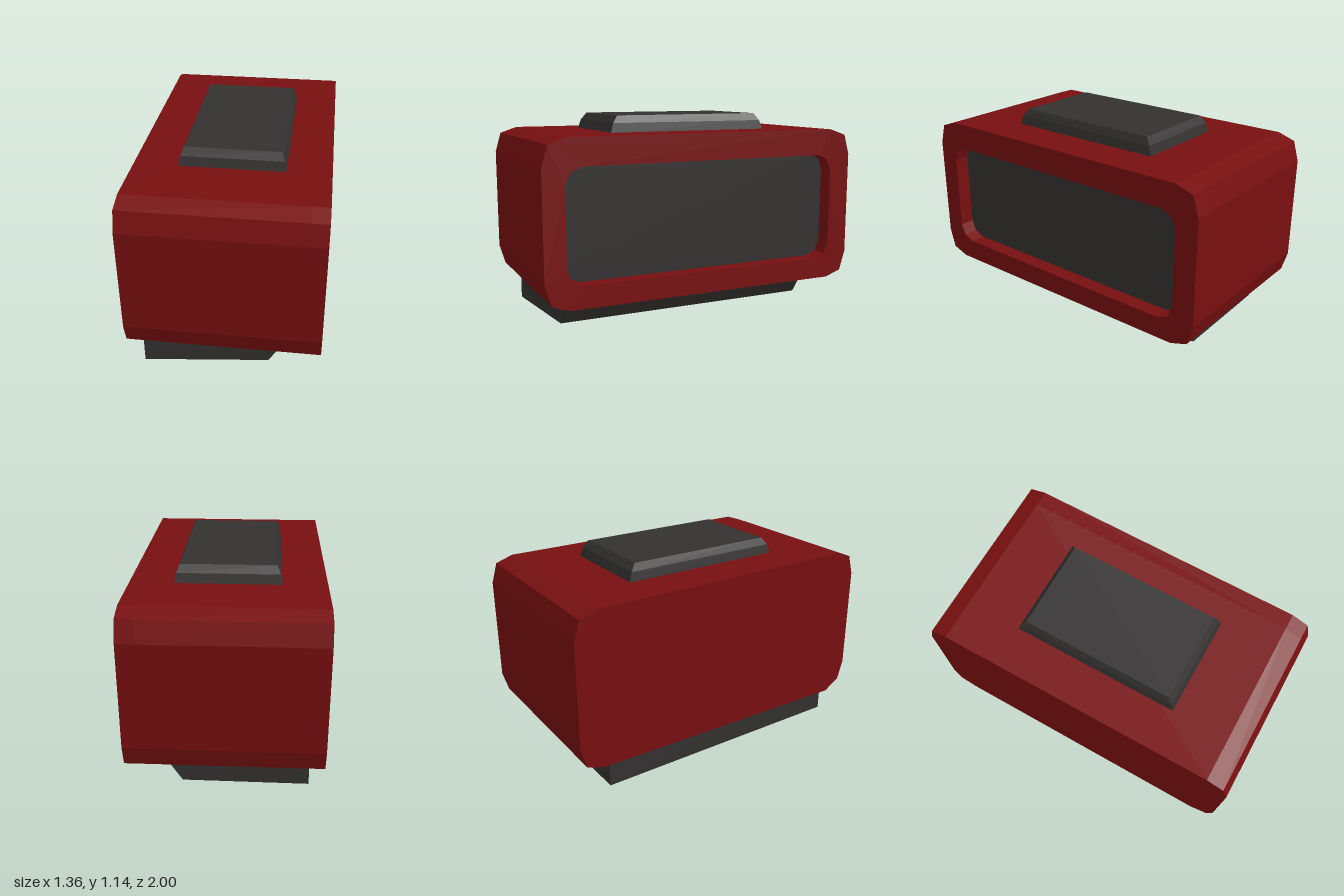
import * as THREE from 'three';

const red = new THREE.MeshStandardMaterial({ color: 0x780f10 });
const grey = new THREE.MeshStandardMaterial({ color: 0x333130 });

const HALF_W = 0.515, HALF_L = 0.917, BOTTOM = 0.18, TOP = 1.05, RECESS = 0.09;

function addMesh(parent, name, geometry, material) {
  const mesh = new THREE.Mesh(geometry, material);
  mesh.name = name;
  parent.add(mesh);
  return mesh;
}

// Rectangle with two-step chamfered corners; c = [along, up, knee] cut sizes
function chamferedPoints(x0, x1, y0, y1, [a, b, k]) {
  return [
    [x0 + a, y0], [x1 - a, y0], [x1 - k, y0 + k], [x1, y0 + b],
    [x1, y1 - b], [x1 - k, y1 - k], [x1 - a, y1], [x0 + a, y1],
    [x0 + k, y1 - k], [x0, y1 - b], [x0, y0 + b], [x0 + k, y0 + k],
  ].map(([x, y]) => new THREE.Vector2(x, y));
}

// Extrude a side profile across the width, from x = from to x = to
function extrudeAcross(shape, from, to) {
  const g = new THREE.ExtrudeGeometry(shape, { depth: to - from, bevelEnabled: false });
  g.translate(0, 0, from).rotateY(Math.PI / 2);
  return g;
}

// Move every vertex of a geometry by a rule, then refresh its normals
function reshape(g, rule) {
  const p = g.attributes.position, v = new THREE.Vector3();
  for (let i = 0; i < p.count; i++) {
    rule(v.fromBufferAttribute(p, i));
    p.setXYZ(i, v.x, v.y, v.z);
  }
  g.computeVertexNormals();
  return g;
}

// The front lower edge dips a little towards one side
function dipFrontEdge(v) {
  if (v.z > 0.7 && v.y < BOTTOM + 0.01) v.y -= 0.025 * (HALF_W - v.x) / (2 * HALF_W);
}

export function createModel() {
  const model = new THREE.Group();
  model.name = 'model';
  const turned = new THREE.Group();
  turned.name = 'turnedBlock';
  turned.rotation.y = 0.192;
  model.add(turned);

  // Body: solid core plus a window rim on the +x side
  const outline = chamferedPoints(-HALF_L, HALF_L, BOTTOM, TOP, [0.13, 0.145, 0.033]);
  const opening = chamferedPoints(-0.8, 0.79, 0.3, 0.905, [0.09, 0.09, 0.026]);
  const rimX = HALF_W - RECESS;
  addMesh(turned, 'body', reshape(extrudeAcross(new THREE.Shape(outline), -HALF_W, rimX), dipFrontEdge), red);
  const rim = new THREE.Shape(outline);
  rim.holes.push(new THREE.Path(opening));
  addMesh(turned, 'windowRim', reshape(extrudeAcross(rim, rimX, HALF_W), dipFrontEdge), red);

  // Dark panel at the back of the recess
  addMesh(turned, 'windowPanel', extrudeAcross(new THREE.Shape(opening), rimX - 0.01, rimX + 0.004), grey);

  // Raised pad on top, its sides leaning in over two steps
  const pad = new THREE.BoxGeometry(0.56, 0.09, 0.94, 1, 2, 1).toNonIndexed();
  addMesh(turned, 'topPad', reshape(pad, (v) => {
    const inset = v.y > 0.04 ? 1 : v.y > -0.01 ? 0.35 : 0;
    v.x -= Math.sign(v.x) * 0.027 * inset;
    v.z -= Math.sign(v.z) * 0.045 * inset;
    v.y += v.y > -0.01 && v.y < 0.01 ? TOP + 0.05 : TOP + 0.045;
  }), grey);

  // Base: one upright side, one sloped side, red underside
  const base = new THREE.BoxGeometry(1, 1, 1).toNonIndexed();
  addMesh(turned, 'base', reshape(base, (v) => {
    const right = v.x > 0, front = v.z > 0, upper = v.y > 0;
    v.z = right ? (front ? 0.757 : -0.75) : (front ? 0.805 : -0.72);
    v.x = right ? (upper ? 0.34 : 0.232) : -0.446;
    v.y = upper ? 0.19 : right ? 0.025 : 0;
  }), [grey, grey, grey, red, grey, grey]);

  return model;
}
